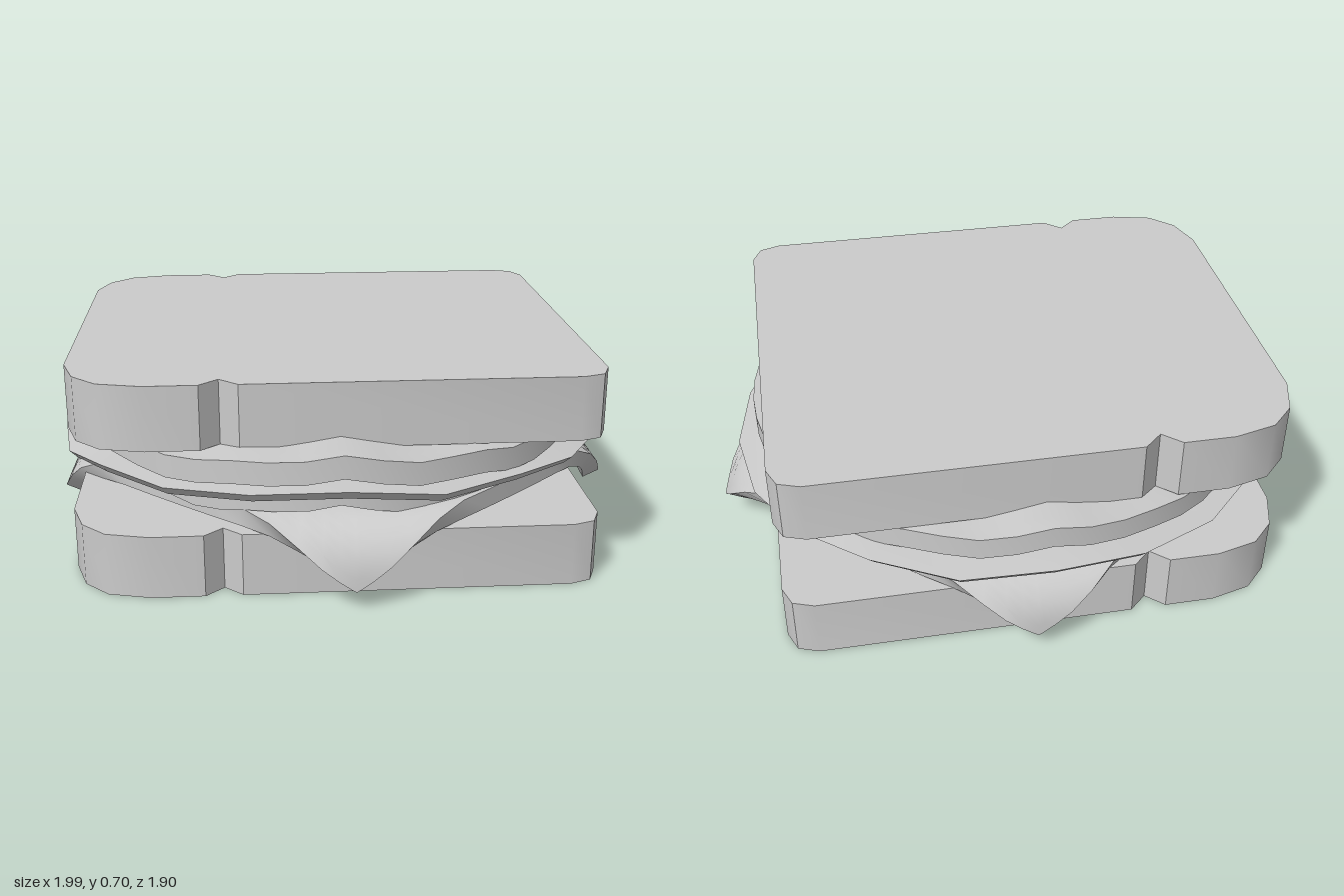
import * as THREE from 'three';
import { toCreasedNormals } from 'three/addons/utils/BufferGeometryUtils.js';

const material = new THREE.MeshStandardMaterial({ color: 0xcccccc });

function addMesh(group, name, geometry, crease) {
  const mesh = new THREE.Mesh(toCreasedNormals(geometry, crease), material);
  mesh.name = name;
  group.add(mesh);
  return mesh;
}

// Linear interpolation through [x, y] points
function sample(points, x) {
  if (x <= points[0][0]) return points[0][1];
  for (let i = 1; i < points.length; i++) {
    const [x0, y0] = points[i - 1], [x1, y1] = points[i];
    if (x <= x1) return y0 + (y1 - y0) * (x - x0) / (x1 - x0);
  }
  return points[points.length - 1][1];
}

// Closed sheet: concentric loops out over the top, round the rim and back underneath.
// place(angle, t, side) gives a point; t runs 0 to 1 from centre to rim, side is 1 (top) or -1.
function sheet(segments, rings, place) {
  const rows = [];
  for (let k = 0; k <= rings; k++) rows.push([k / rings, 1]);
  for (let k = rings; k >= 0; k--) rows.push([k / rings, -1]);
  const position = [], index = [];
  for (const [t, side] of rows) {
    for (let i = 0; i < segments; i++) position.push(...place(i / segments * Math.PI * 2, t, side));
  }
  for (let k = 0; k < rows.length - 1; k++) {
    for (let i = 0; i < segments; i++) {
      const j = (i + 1) % segments, a = k * segments, c = a + segments;
      if (k > 0) index.push(a + i, a + j, c + i);
      if (k < rows.length - 2) index.push(a + j, c + j, c + i);
    }
  }
  const geometry = new THREE.BufferGeometry();
  geometry.setAttribute('position', new THREE.Float32BufferAttribute(position, 3));
  geometry.setIndex(index);
  return geometry;
}

// Bread slice: half outline with the notch, mirrored in z
function breadGeometry() {
  const half = [[-0.9, 0.5], [-0.86, 0.63], [-0.78, 0.71], [-0.64, 0.745], [-0.47, 0.745], [-0.41, 0.69],
    [-0.35, 0.745], [0.71, 0.745], [0.78, 0.72], [0.81, 0.65]];
  const mirrored = half.map(([x, z]) => [x, -z]).reverse();
  const shape = new THREE.Shape([...half, ...mirrored].map(([x, z]) => new THREE.Vector2(x, z)));
  return new THREE.ExtrudeGeometry(shape, { depth: 0.21, bevelEnabled: false }).rotateX(-Math.PI / 2);
}

// Wavy round slice, its ripples running along z
const ripple = [[-1, 0], [-0.8, 0], [-0.58, -0.025], [-0.33, 0.005], [-0.2, 0], [0, 0.03], [0.18, 0],
  [0.3, -0.015], [0.45, 0], [0.65, -0.035], [0.82, -0.01], [0.9, 0], [1, 0]];
function wavySlice(radius, top, thickness) {
  return sheet(48, 16, (angle, t, side) => {
    const x = Math.cos(angle) * t, z = Math.sin(angle) * t;
    return [x * radius - 0.04, top + sample(ripple, x) - (side < 0 ? thickness : 0), z * radius + 0.02];
  });
}

// Thin faceted slice with drooping sides
const droop = [[-0.98, 0.335], [-0.92, 0.335], [-0.8, 0.385], [-0.6, 0.385], [-0.4, 0.405], [-0.03, 0.43],
  [0.3, 0.39], [0.5, 0.405], [0.7, 0.38], [0.85, 0.335], [0.92, 0.335]];
function thinSlice() {
  return sheet(20, 10, (angle, t, side) => {
    const r = t * (side > 0 ? 0.95 : 0.925);
    const x = Math.cos(angle) * r - 0.03, z = Math.sin(angle) * r;
    return [x, sample(droop, x) - (side < 0 ? 0.03 : 0), z];
  });
}

// Bends a flat length over an edge: returns [along, height] for an offset from the middle surface
function bend(u, fold, radius, maxAngle, offset) {
  const over = Math.abs(u) - fold;
  if (over <= 0) return [u, offset];
  const angle = Math.min(over / radius, maxAngle), straight = over - angle * radius;
  const along = fold + (radius + offset) * Math.sin(angle) + straight * Math.cos(angle);
  const height = (radius + offset) * Math.cos(angle) - radius - straight * Math.sin(angle);
  return [Math.sign(u) * along, height];
}

// Diamond-laid square slice whose four corners fold down over the bread
function foldedSlice() {
  const power = 2 / 1.09;
  const curve = v => Math.sign(v) * Math.abs(v) ** power;
  return sheet(64, 24, (angle, t, side) => {
    const offset = 0.032 * side;
    const [x, hx] = bend(1.05 * curve(Math.cos(angle)) * t, 0.76, 0.2, 1.13, offset);
    const [z, hz] = bend(0.97 * curve(Math.sin(angle)) * t, 0.7, 0.14, 1.5, offset);
    return [x, 0.255 + hx + hz - offset, z + 0.01];
  });
}

export function createModel() {
  const group = new THREE.Group();
  group.name = 'sandwich';
  addMesh(group, 'bottomBread', breadGeometry(), 0.6);
  addMesh(group, 'topBread', breadGeometry(), 0.6).position.y = 0.495;
  addMesh(group, 'cheese', foldedSlice(), 0.9);
  addMesh(group, 'lowerWavySlice', wavySlice(0.76, 0.35, 0.065), 0.9);
  addMesh(group, 'ham', thinSlice(), 0.35);
  addMesh(group, 'upperWavySlice', wavySlice(0.89, 0.5, 0.075), 0.9);
  return group;
}
